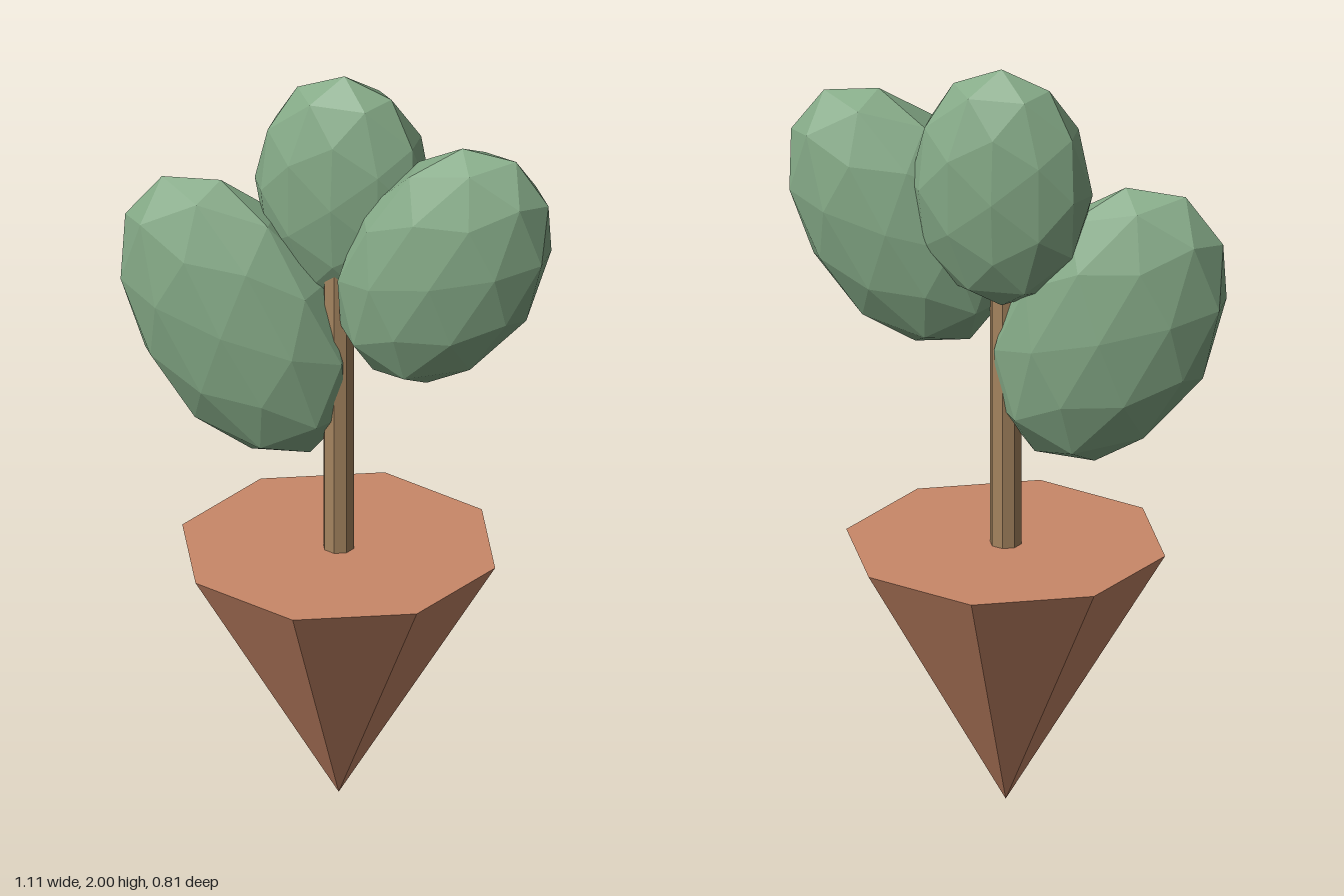
import * as THREE from 'three';

const flat = (name, color) => {
  const m = new THREE.MeshStandardMaterial({ color, flatShading: true });
  m.name = name;
  return m;
};

export function createModel() {
  const terracotta = flat('terracotta', 0xc98868);
  const bark = flat('bark', 0xa5845f);
  const leafGreen = flat('leafGreen', 0x84a986);

  const model = new THREE.Group();
  model.name = 'pottedTree';
  const add = (name, geometry, material, x, y, z) => {
    const mesh = new THREE.Mesh(geometry, material);
    mesh.name = name;
    mesh.position.set(x, y, z);
    model.add(mesh);
    return mesh;
  };

  // Pot: eight-sided cone standing on its tip, closed by a flat top
  const potHeight = 0.695;
  add('pot', new THREE.CylinderGeometry(0.407, 0, potHeight, 8), terracotta, 0, potHeight / 2, 0);

  // Trunk: straight post ending inside the crown
  const trunkTop = 1.5;
  const trunkHeight = trunkTop - potHeight;
  add('trunk', new THREE.CylinderGeometry(0.04, 0.04, trunkHeight, 8), bark, 0, potHeight + trunkHeight / 2, 0);

  // Foliage: flattened faceted ellipsoids [name, centre, radii, tilt]
  const clumps = [
    ['topFoliage', [0, 1.68, -0.05], [0.233, 0.32, 0.125], 0],
    ['rightFoliage', [-0.267, 1.312, 0], [0.268, 0.41, 0.14], 0.49],
    ['leftFoliage', [0.284, 1.548, 0.03], [0.246, 0.372, 0.141], -0.525],
  ];
  for (const [name, centre, radii, tilt] of clumps) {
    const clump = new THREE.IcosahedronGeometry(1, 1).scale(...radii);
    add(name, clump, leafGreen, ...centre).rotation.z = tilt;
  }
  return model;
}
